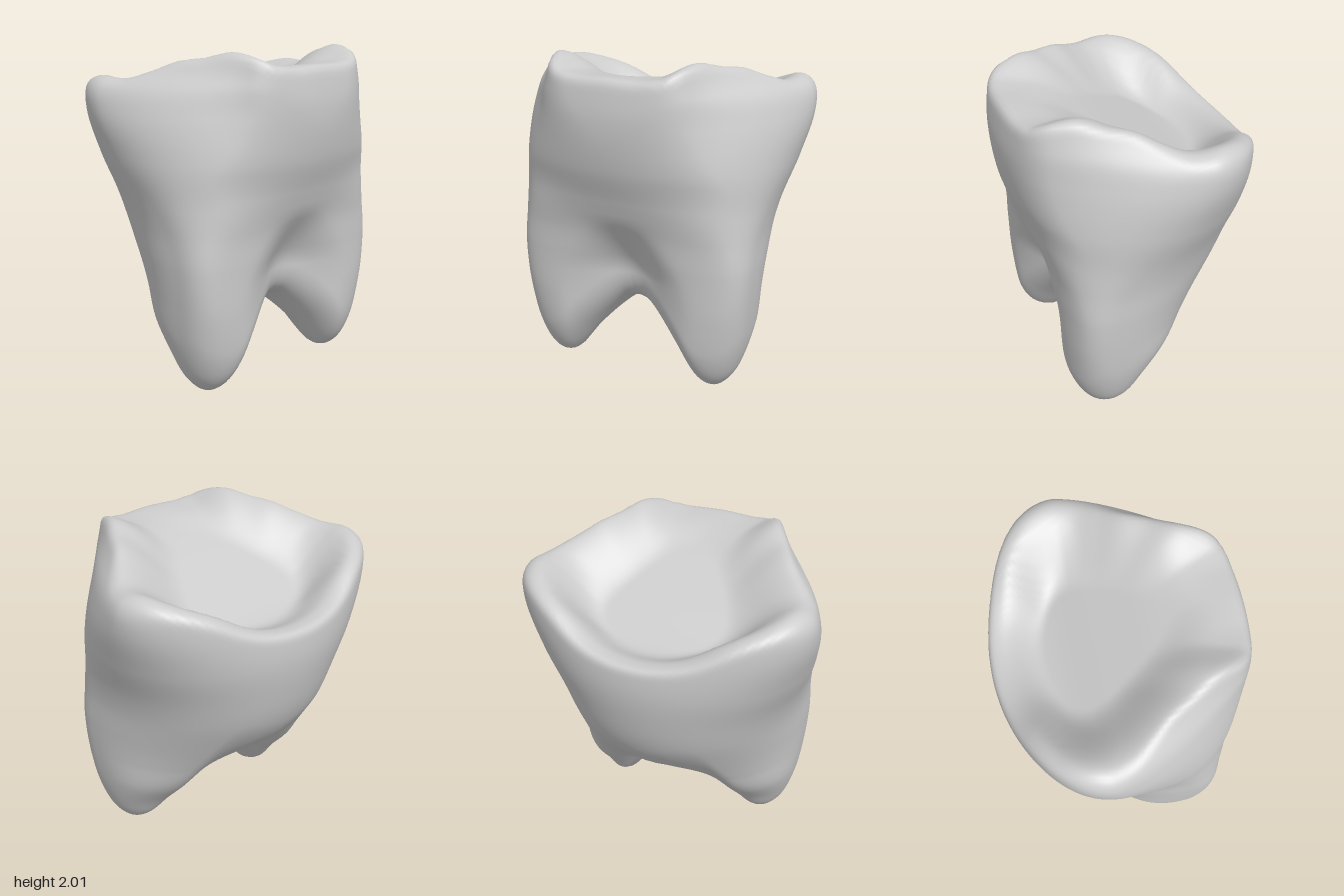
import * as THREE from 'three';
import { mergeVertices } from 'three/addons/utils/BufferGeometryUtils.js';

const step = THREE.MathUtils.smoothstep;
const lerp = THREE.MathUtils.lerp;

// Smooth curve through a few [position, value] pairs
function curve(...pairs) {
  const c = new THREE.CubicInterpolant(pairs.map(p => p[0]), pairs.map(p => p[1]), 1, [0]);
  return t => c.evaluate(t)[0];
}

function smoothMax(a, b, k) {
  const h = Math.max(k - Math.abs(a - b), 0);
  return Math.max(a, b) + h * h / (4 * k);
}

// Horizontal outline by height: half width, depth of widest point, front and back reach
const halfWidth = curve([0, 0.62], [0.1, 0.67], [0.2, 0.695], [0.4, 0.73], [0.6, 0.75], [0.8, 0.762], [1, 0.768],
  [1.15, 0.79], [1.4, 0.855], [1.68, 0.905], [1.8, 0.885], [1.93, 0.77], [2.05, 0.68]);
const widestZ = curve([0, 0.3], [0.4, 0.28], [0.8, 0.27], [1, 0.2], [1.4, -0.05], [1.75, -0.2], [2, -0.2]);
const front = curve([0, 0.5], [0.15, 0.53], [0.3, 0.555], [0.5, 0.565], [0.8, 0.565], [1, 0.58], [1.2, 0.64],
  [1.4, 0.705], [1.7, 0.735], [1.9, 0.71], [2.05, 0.68]);
const extraFront = curve([0, 0.03], [1, 0.03], [1.4, 0.05], [1.6, 0.1], [1.75, 0.2], [1.85, 0.33], [1.97, 0.55],
  [2.05, 0.65]);
const back = curve([0, 0], [0.2, -0.06], [0.4, -0.24], [0.6, -0.41], [0.7, -0.48], [0.8, -0.54], [1, -0.64],
  [1.2, -0.7], [1.4, -0.735], [1.55, -0.735], [1.8, -0.7], [2, -0.66]);
const frontPower = curve([0, 2.4], [0.3, 2.8], [0.6, 3.4], [0.9, 3.4], [1.2, 2.5], [1.5, 1.85], [1.75, 1.42],
  [1.95, 1.2], [2.05, 1.15]);
const backPower = curve([0, 2.5], [0.4, 2.4], [0.6, 2.05], [1, 2.05], [1.3, 2], [2, 2]);

// Chewing surface: rim height by depth, and height along the middle
const rim = curve([-0.74, 1.5], [-0.66, 1.6], [-0.57, 1.74], [-0.45, 1.82], [-0.3, 1.86], [-0.08, 1.855],
  [0.05, 1.9], [0.2, 1.965], [0.35, 1.985], [0.5, 2.015], [0.68, 1.96]);
const hollow = curve([-0.72, 1.49], [-0.6, 1.49], [-0.4, 1.53], [-0.1, 1.67], [0.2, 1.81], [0.5, 1.91], [0.68, 1.95]);

// Underside: arch between the two root tips
const arch = curve([0, 0.45], [0.08, 0.43], [0.17, 0.36], [0.33, 0.19], [0.45, 0.03], [0.52, 0], [0.6, 0.03],
  [0.68, 0.12], [0.76, 0.3]);

function outline(x, y, z) {
  const w = halfWidth(y), m = widestZ(y);
  const n = z > m ? frontPower(y) : backPower(y);
  const v = z > m ? (z - m) / (front(y) + extraFront(y) - m) : (m - z) / (m - back(y));
  return Math.pow(Math.pow(x / w, n) + Math.pow(v, n), 1 / n);
}

// Height of the chewing surface: the middle blends outwards into the rim
function topHeight(x, z) {
  const r = Math.max(outline(x, 1.82, z), 0.05);
  const m = widestZ(1.82);
  const rimZ = m + (z - m) * 0.95 / r;
  const dip = 0.035 * (1 - step(x, 0.15, 0.47)) * step(z, 0.3, 0.55);
  return lerp(hollow(z), rim(rimZ) - dip, step(r, 0.42, 0.92));
}

// Negative inside the tooth, positive outside
function field(px, y, z) {
  const x = Math.abs(px);
  const wall = (outline(x, y, z) - 1) * 0.7;

  // Front face, bowed on the crown and grooved above the fork
  const crown = step(y, 1, 1.35);
  const grooveWidth = lerp(0.3, 0.2, step(y, 0.5, 1));
  const groove = 0.16 * (1 - step(y, 0.68, 1.12)) * Math.exp(-((x / grooveWidth) ** 2));
  const face = z - (front(y) - 0.27 * crown * x * x - groove);

  // Rounded root tips, sloping up towards the back
  const root = step(x, 0, 0.44);
  const slope = lerp(0.52, 0.95, root);
  const rise = Math.hypot(z - lerp(0.13, 0.28, root), 0.12) - 0.12;
  const under = (arch(x) + slope * rise - y) * 0.75;

  const sides = smoothMax(wall, face, 0.08);
  return smoothMax(smoothMax(sides, y - topHeight(x, z), 0.05), under, 0.12);
}

// Push each point of a fine ball outwards until it meets the tooth surface
function toothGeometry() {
  let geometry = new THREE.IcosahedronGeometry(1, 56);
  geometry.deleteAttribute('normal');
  geometry.deleteAttribute('uv');
  geometry = mergeVertices(geometry, 1e-5);
  const center = new THREE.Vector3(0, 0.87, -0.04);
  const pos = geometry.attributes.position;
  const dir = new THREE.Vector3(), p = new THREE.Vector3();
  for (let i = 0; i < pos.count; i++) {
    dir.fromBufferAttribute(pos, i).normalize();
    let near = 0, far = 1.5;
    for (let k = 0; k < 24; k++) {
      const mid = (near + far) / 2;
      p.copy(center).addScaledVector(dir, mid);
      if (field(p.x, p.y, p.z) < 0) near = mid; else far = mid;
    }
    p.copy(center).addScaledVector(dir, near);
    pos.setXYZ(i, p.x, p.y, p.z);
  }
  geometry.computeBoundingBox();
  geometry.translate(0, -geometry.boundingBox.min.y, 0);
  geometry.computeVertexNormals();
  return geometry;
}

export function createModel() {
  const group = new THREE.Group();
  group.name = 'molar';
  const tooth = new THREE.Mesh(toothGeometry(), new THREE.MeshStandardMaterial({ color: 0xcccccc }));
  tooth.name = 'tooth';
  group.add(tooth);
  return group;
}
